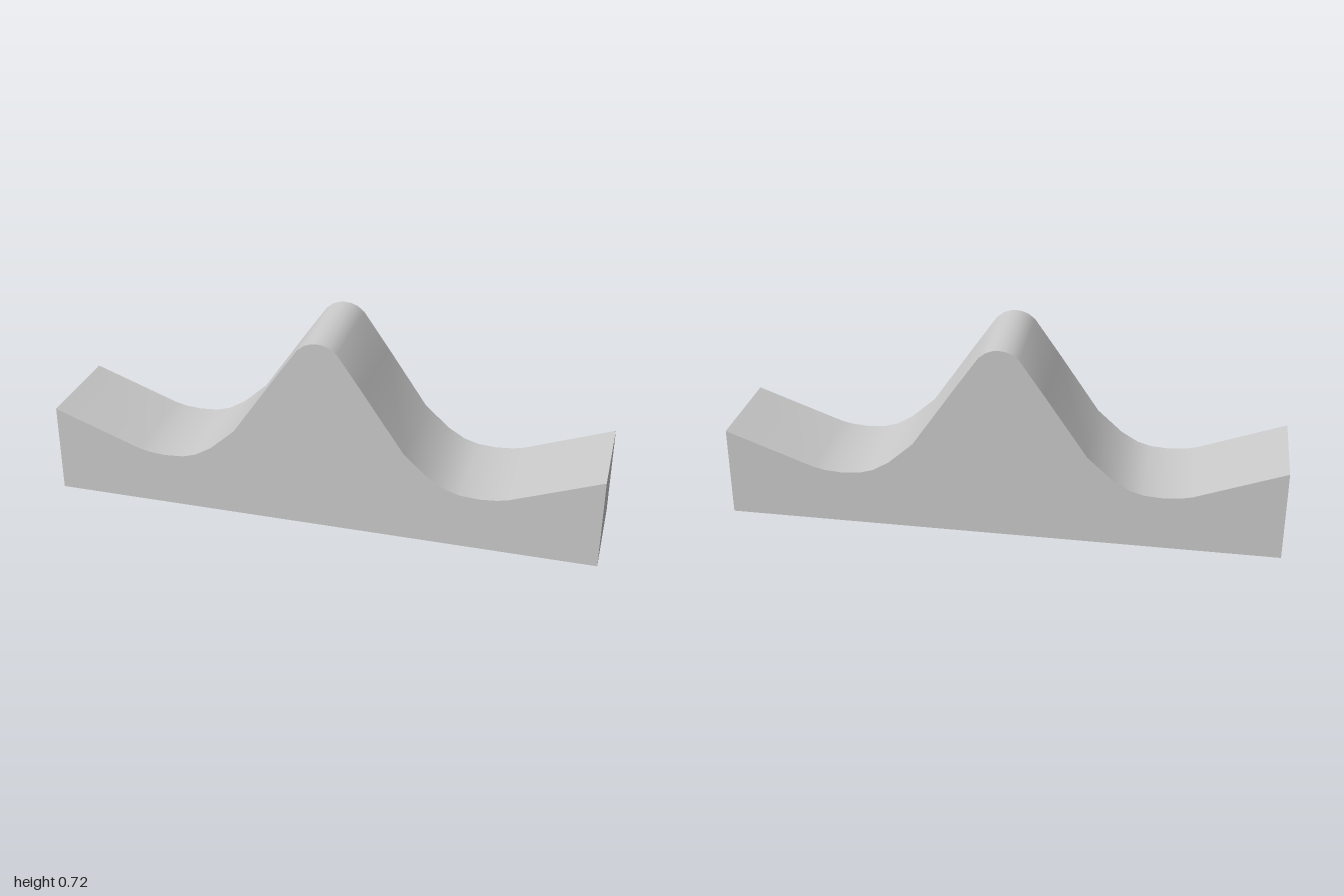
import * as THREE from 'three';
import { toCreasedNormals } from 'three/addons/utils/BufferGeometryUtils.js';

export function createModel() {
  const group = new THREE.Group();
  const depth = 0.378;

  // Right half of the symmetric wave profile, from the end wall to just beside the crest
  const half = [
    [1, 0], [1, 0.332], [0.68, 0.214], [0.64, 0.205], [0.58, 0.2], [0.51, 0.205], [0.46, 0.22],
    [0.4, 0.256], [0.31, 0.337], [0.16, 0.557], [0.07, 0.686], [0.045, 0.706], [0.02, 0.715],
  ];
  const mirrored = half.map(([x, y]) => [-x, y]).reverse();
  const outline = [...half, [0, 0.717], ...mirrored].map(([x, y]) => new THREE.Vector2(x, y));

  // Solid block with a smoothly shaded wavy top and sharp edges
  const extruded = new THREE.ExtrudeGeometry(new THREE.Shape(outline), { depth, bevelEnabled: false });
  extruded.translate(0, 0, -depth / 2);
  const block = new THREE.Mesh(
    toCreasedNormals(extruded, 0.7),
    new THREE.MeshStandardMaterial({ color: 0xcccccc })
  );
  block.name = 'waveBlock';
  group.add(block);
  return group;
}
